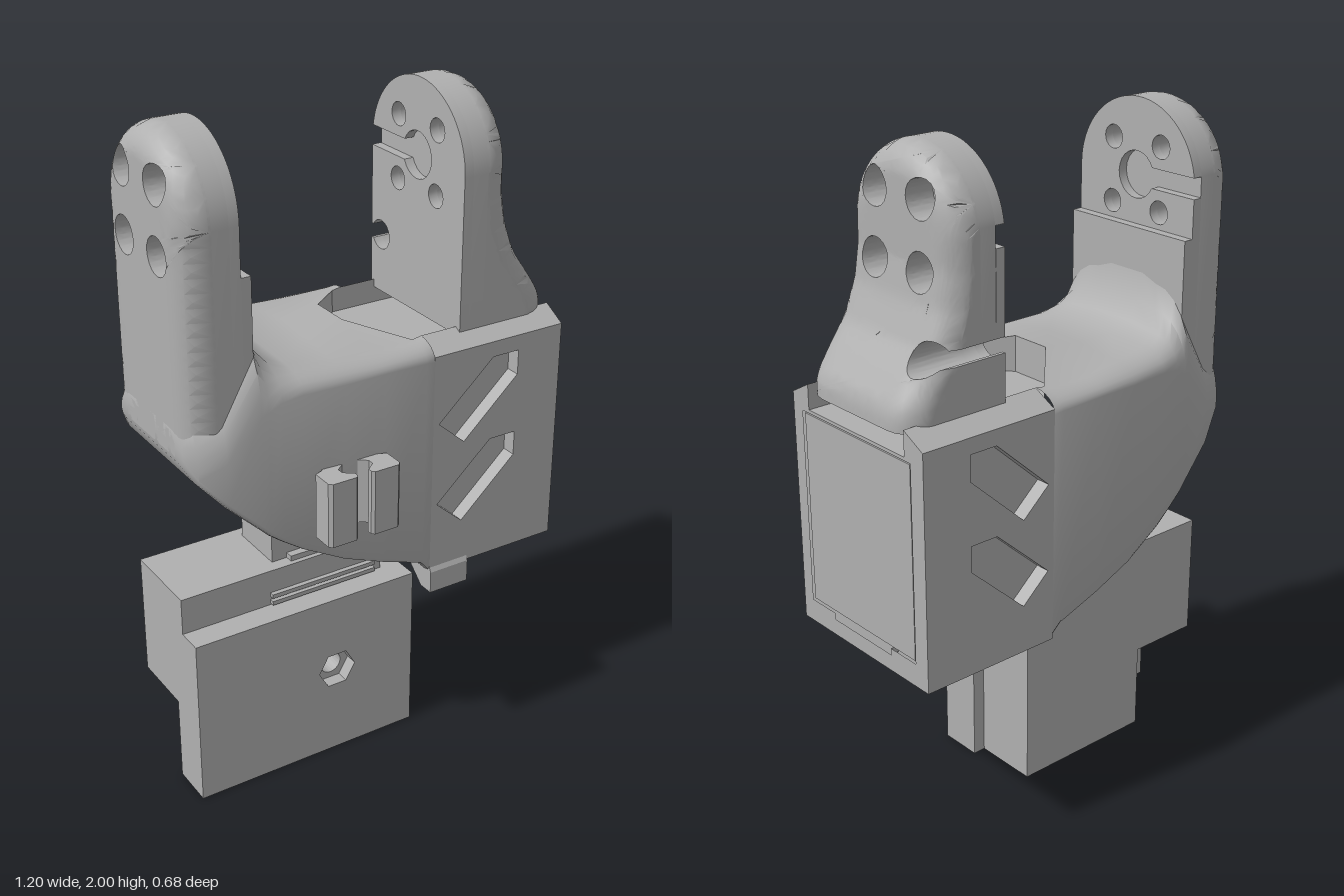
import * as THREE from 'three';
import { toCreasedNormals } from 'three/addons/utils/BufferGeometryUtils.js';

const V = (x, y) => new THREE.Vector2(x, y);
const CZ = -0.0425; // middle plane of the body and arms

export function createModel() {
  const model = new THREE.Group();
  const grey = new THREE.MeshStandardMaterial({ color: 0xb0b0b0 });
  const add = (name, geometry) => {
    const mesh = new THREE.Mesh(geometry, grey);
    mesh.name = name;
    model.add(mesh);
    return mesh;
  };
  const box = (name, x0, x1, y0, y1, z0, z1) =>
    add(name, new THREE.BoxGeometry(x1 - x0, y1 - y0, z1 - z0)
      .translate((x0 + x1) / 2, (y0 + y1) / 2, (z0 + z1) / 2));
  const shapeOf = (pts, holes = []) => {
    const s = new THREE.Shape(pts.map(([a, b]) => V(a, b)));
    s.holes = holes.map(h => new THREE.Path(h.map(([a, b]) => V(a, b))));
    return s;
  };
  const extrude = (shape, depth) => new THREE.ExtrudeGeometry(shape, { depth, bevelEnabled: false });
  // Extrusions: outline in (x, y) along z, in (z, y) along x, in (x, z) along y
  const alongZ = (name, pts, z0, z1, holes) =>
    add(name, extrude(shapeOf(pts, holes), z1 - z0).translate(0, 0, z0));
  const alongX = (name, pts, x0, x1, holes = []) => {
    const flip = list => list.map(([z, y]) => [-z, y]);
    return add(name, extrude(shapeOf(flip(pts), holes.map(flip)), x1 - x0)
      .rotateY(Math.PI / 2).translate(x0, 0, 0));
  };
  const alongY = (name, pts, y0, y1, holes = []) => {
    const flip = list => list.map(([x, z]) => [x, -z]);
    return add(name, extrude(shapeOf(flip(pts), holes.map(flip)), y1 - y0)
      .rotateX(-Math.PI / 2).translate(0, y0, 0));
  };
  const rect = (a0, a1, b0, b1) => [[a0, b0], [a1, b0], [a1, b1], [a0, b1]];
  const ngon = (x, y, r, n) => Array.from({ length: n }, (_, i) =>
    [x + r * Math.cos(i / n * 2 * Math.PI), y + r * Math.sin(i / n * 2 * Math.PI)]);

  // Curved hull: x, front z, back z, bottom, side top, edge half-width, edge y, pocket half-width, crown y, floor y
  const sections = [
    [-0.6, 0.15, -0.23, 1.11, 1.13, 0.12, 1.2, 0.065, 1.2, 1.2],
    [-0.575, 0.19, -0.265, 1.06, 1.1, 0.15, 1.25, 0.065, 1.25, 1.25],
    [-0.5, 0.215, -0.295, 0.975, 1.12, 0.15, 1.28, 0.065, 1.3, 1.3],
    [-0.4, 0.23, -0.31, 0.88, 1.24, 0.12, 1.48, 0.065, 1.5, 1.5],
    [-0.38, 0.232, -0.313, 0.86, 1.25, 0.14, 1.41, 0.065, 1.42, 1.42],
    [-0.34, 0.236, -0.318, 0.83, 1.27, 0.17, 1.36, 0.065, 1.37, 1.37],
    [-0.28, 0.242, -0.326, 0.79, 1.28, 0.19, 1.335, 0.065, 1.34, 1.34],
    [-0.15, 0.25, -0.338, 0.72, 1.28, 0.2, 1.33, 0.065, 1.345, 1.345],
    [-0.02, 0.25, -0.34, 0.666, 1.28, 0.21, 1.32, 0.065, 1.36, 1.36],
    [-0.02, 0.25, -0.34, 0.666, 1.28, 0.21, 1.32, 0.065, 1.36, 1.25],
    [0.12, 0.247, -0.338, 0.615, 1.275, 0.2125, 1.32, 0.2125, 1.32, 1.25],
    [0.15, 0.243, -0.333, 0.58, 1.27, 0.2125, 1.325, 0.2125, 1.325, 1.25],
  ];
  const ringOf = ([x, zf, zb, bot, side, ew, ey, pw, crown, floor]) => {
    const half = (z, s) => {
      const pts = [[z - s * 0.025, bot], [z - s * 0.007, bot + 0.006], [z, bot + 0.02]];
      for (let i = 0; i <= 6; i++) {
        const a = i / 6 * Math.PI / 2, e = CZ + s * ew;
        pts.push([e + (z - e) * Math.cos(a), side + (ey - side) * Math.sin(a)]);
      }
      pts.push([CZ + s * pw, crown], [CZ + s * pw, floor]);
      return pts;
    };
    return [...half(zf, 1), ...half(zb, -1).reverse()].map(([z, y]) => [x, y, z]);
  };
  const rings = sections.map(ringOf), n = rings[0].length, pos = [];
  for (let i = 0; i + 1 < rings.length; i++) {
    for (let j = 0; j < n; j++) {
      const k = (j + 1) % n, [a, b, c, d] = [rings[i][j], rings[i + 1][j], rings[i + 1][k], rings[i][k]];
      pos.push(...a, ...b, ...c, ...a, ...c, ...d);
    }
  }
  for (let j = 0; j < n; j++) pos.push(-0.6, 1.15, CZ, ...rings[0][j], ...rings[0][(j + 1) % n]);
  const hull = new THREE.BufferGeometry();
  hull.setAttribute('position', new THREE.Float32BufferAttribute(pos, 3));
  add('curvedHull', toCreasedNormals(hull, 0.7));

  // Box end of the body, with slanted windows cut in both side walls
  const chevron = dy => [[0.17, 1.07], [0.26, 0.99], [0.445, 1.16], [0.445, 1.237], [0.355, 1.237]]
    .map(([x, y]) => [x, y + dy]);
  const wall = rect(0.15, 0.575, 0.58, 1.25);
  alongZ('frontWall', wall, 0.198, 0.243, [chevron(0), chevron(-0.265)]);
  alongZ('backWall', wall, -0.333, -0.288, [chevron(0), chevron(-0.265)]);
  box('bodyCore', 0.15, 0.575, 0.58, 1.25, -0.288, 0.198);
  for (const s of [1, -1]) {
    const outer = s > 0 ? 0.243 : -0.333, inner = CZ + s * 0.2125;
    alongX('topShoulder', [[outer, 1.25], [outer, 1.285], [inner, 1.325], [inner, 1.25]], 0.15, 0.6);
  }
  alongX('endFrame', rect(-0.333, 0.243, 0.58, 1.25), 0.575, 0.6,
    [[[-0.28, 0.65], [-0.17, 0.65], [-0.17, 0.63], [0.09, 0.63], [0.09, 0.65], [0.2, 0.65], [0.2, 1.24], [-0.28, 1.24]]]);
  box('endPanel', 0.57, 0.597, 0.656, 1.234, -0.274, 0.194);
  alongX('footTab', [[0.24, 0.6], [0.25, 0.58], [0.25, 0.51], [0.2, 0.51], [0.12, 0.58], [0.12, 0.6]], 0.15, 0.285);

  // Splits long edges so that a flat extrusion can be bent smoothly
  const refine = (geometry, limit) => {
    const p = geometry.toNonIndexed().attributes.position, out = [];
    const stack = [];
    for (let i = 0; i < p.count; i += 3) {
      stack.push([0, 1, 2].map(k => new THREE.Vector3().fromBufferAttribute(p, i + k)));
    }
    while (stack.length) {
      const t = stack.pop(), len = t.map((v, i) => v.distanceTo(t[(i + 1) % 3]));
      const i = len.indexOf(Math.max(...len));
      if (len[i] <= limit) { t.forEach(v => out.push(v.x, v.y, v.z)); continue; }
      const a = t[i], b = t[(i + 1) % 3], c = t[(i + 2) % 3], m = a.clone().add(b).multiplyScalar(0.5);
      stack.push([a, m, c], [m, b, c]);
    }
    const g = new THREE.BufferGeometry();
    g.setAttribute('position', new THREE.Float32BufferAttribute(out, 3));
    return g;
  };

  // Arms: arched plates in layers; the outer layer is rounded off and may flare at the foot
  const W = 0.23, ARCH = 1.77;
  const keyhole = (y, inset, r, slot) => { // notch in from the rear edge
    const a0 = Math.asin(slot / r), pts = [[W, y - slot]];
    for (let i = 0; i <= 20; i++) {
      const a = -a0 - (2 * Math.PI - 2 * a0) * i / 20;
      pts.push([W - inset + r * Math.cos(a), y + r * Math.sin(a)]);
    }
    return [...pts, [W - 0.001, y + slot]];
  };
  const arm = (name, s, x0, foot, notch, depthAt) => {
    const layer = (d0, d1, holeR, horn, outer) => {
      const pts = [[-W, foot], [W, foot], ...notch, ...(horn ? keyhole(1.775, W, 0.07, 0.03) : [])];
      for (let i = 0; i <= 32; i++) {
        const a = 0.155 + (Math.PI - 0.155) * i / 32;
        pts.push([W * Math.cos(a), ARCH + W * Math.sin(a)]);
      }
      const holes = [];
      for (const u of [-0.095, 0.095]) for (const y of [1.68, 1.87]) holes.push(ngon(u, y, holeR, 20));
      let g = extrude(shapeOf(pts.map(([u, y]) => [u * s, y]), holes), d1 - d0).translate(0, 0, d0);
      if (outer) {
        g = refine(g, 0.03);
        const p = g.attributes.position, r = 0.085;
        for (let i = 0; i < p.count; i++) {
          const u = p.getX(i), y = p.getY(i), t = (p.getZ(i) - d0) / (d1 - d0);
          const e = W - Math.hypot(u, Math.max(0, y - ARCH));
          const q = r - Math.min(r, Math.max(0, e));
          p.setZ(i, d0 + t * (depthAt(y) - (r - Math.sqrt(r * r - q * q)) - d0));
        }
      }
      g = toCreasedNormals(g, 0.6);
      add(name, g.rotateY(s * Math.PI / 2).translate(x0, 0, CZ + 0.0025));
    };
    layer(0, 0.03, 0.035, true, false);
    layer(0.03, 0.08, 0.035, false, false);
    layer(0.08, 0.17, 0.055, false, true);
  };
  arm('tallArm', -1, -0.43, 1.12, [], () => 0.17);
  box('tallArmPad', -0.431, -0.4, 1.2, 1.63, -0.27, 0.19);
  const flare = [[1.3, 0.328], [1.34, 0.326], [1.37, 0.315], [1.43, 0.275], [1.5, 0.225], [1.6, 0.186], [1.7, 0.17], [3, 0.17]];
  arm('flaredArm', 1, 0.27, 1.3, keyhole(1.48, 0.05, 0.045, 0.022), y => {
    const i = Math.max(1, flare.findIndex(f => f[0] >= y));
    const [a, b] = [flare[i - 1], flare[i]];
    return a[1] + (b[1] - a[1]) * Math.max(0, (y - a[0]) / (b[0] - a[0]));
  });

  // Pair of clip hooks on the front
  for (const s of [1, -1]) {
    const hook = [[0.09, 0.2], [0.09, 0.25], [0.117, 0.26], [0.117, 0.325], [0.107, 0.335], [0.03, 0.335],
      [0.022, 0.327], [0.022, 0.312], [0.05, 0.29], [0.05, 0.27], [0.025, 0.25], [0.025, 0.2]];
    alongY('clipHook', hook.map(([x, z]) => [-0.1375 + s * x, z]), 0.84, 1.04);
  }

  // Mounting foot below the hull: front plate with a nut socket, rear block with a hollow underside
  const plate = rect(-0.6, 0.14, 0, 0.54);
  alongZ('frontPlate', plate, 0.13, 0.17, [ngon(-0.13, 0.29, 0.062, 6)]);
  alongZ('frontPlateInner', plate, 0.035, 0.13, [ngon(-0.13, 0.29, 0.035, 24)]);
  box('rearBlock', -0.6, 0.1, 0.27, 0.57, -0.17, 0.035);
  box('rearBlockTop', -0.6, 0.075, 0.54, 0.655, -0.17, 0.09);
  alongY('rearBlockSkirt', rect(-0.37, 0.1, -0.17, 0.035), 0, 0.27, [rect(-0.32, 0.05, -0.13, 0.0)]);
  for (const z of [-0.1, -0.06]) box('cavityRib', -0.32, -0.05, 0.04, 0.27, z, z + 0.015);
  for (const y of [0.545, 0.568]) box('frontRib', -0.31, 0.045, y, y + 0.013, 0.085, 0.105);
  box('neck', -0.28, 0.07, 0.65, 0.82, -0.13, 0.05);
  box('neckLip', -0.23, -0.02, 0.65, 0.672, 0.04, 0.075);
  return model;
}
